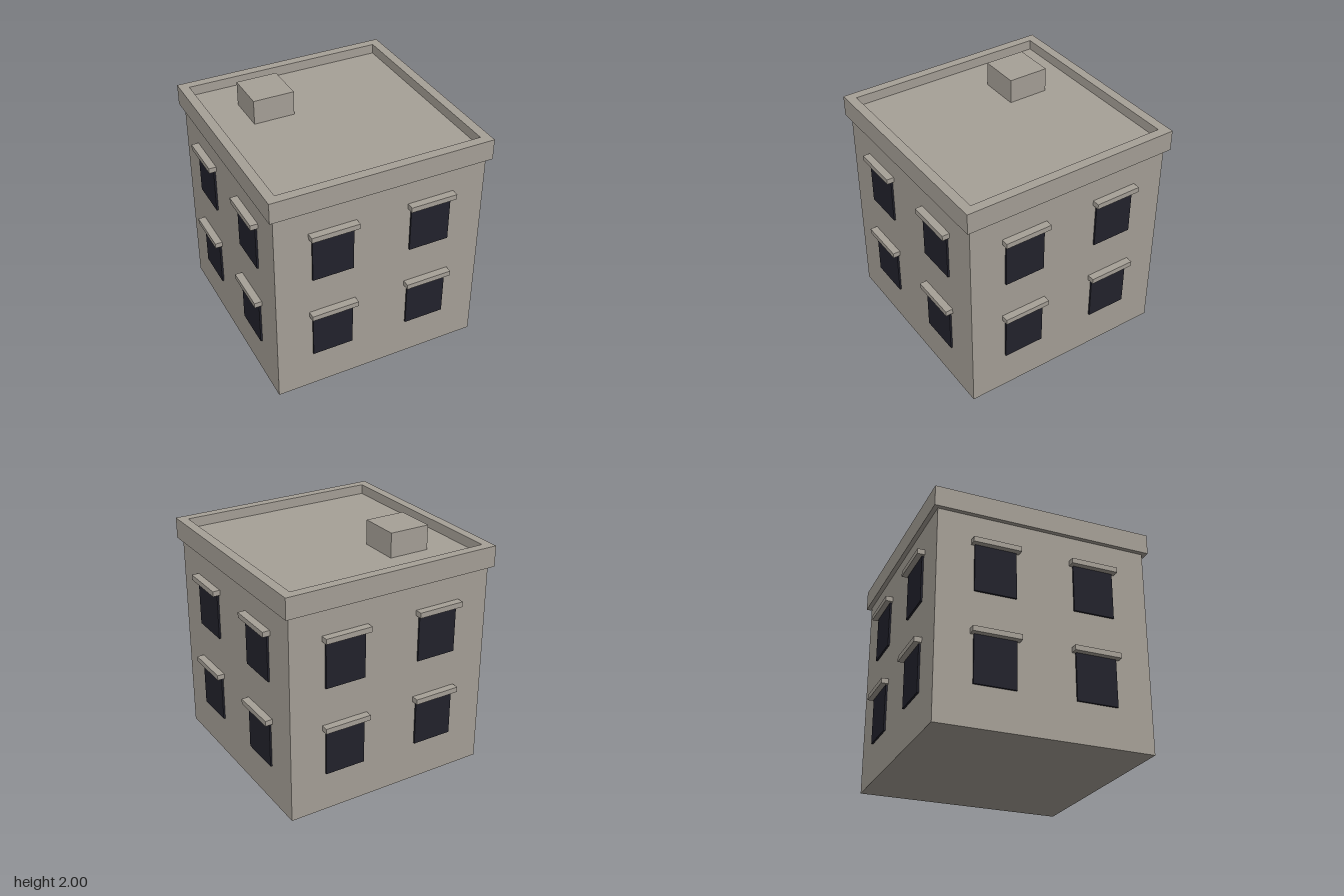
import * as THREE from 'three';

export function createModel() {
  const building = new THREE.Group();
  building.name = 'building';

  const stone = new THREE.MeshStandardMaterial({ color: 0xa6a097 });
  stone.name = 'warm grey stone';
  const glass = new THREE.MeshStandardMaterial({ color: 0x22222c });
  glass.name = 'dark glass';

  // Box given by its size, centre x and z, and bottom y
  function addBox(parent, name, material, w, h, d, x, bottom, z) {
    const mesh = new THREE.Mesh(new THREE.BoxGeometry(w, h, d), material);
    mesh.name = name;
    mesh.position.set(x, bottom + h / 2, z);
    parent.add(mesh);
  }

  const wall = 0.872;

  // Main block, whose top is the sunken flat roof
  addBox(building, 'walls', stone, wall * 2, 1.8, wall * 2, 0, 0, 0);

  // Square parapet ring overhanging the walls
  const square = (Base, r) => {
    const s = new Base();
    s.moveTo(-r, -r);
    s.lineTo(r, -r);
    s.lineTo(r, r);
    s.lineTo(-r, r);
    s.closePath();
    return s;
  };
  const ring = square(THREE.Shape, 0.908);
  ring.holes.push(square(THREE.Path, 0.832));
  const ringGeometry = new THREE.ExtrudeGeometry(ring, { depth: 0.17, bevelEnabled: false });
  ringGeometry.rotateX(-Math.PI / 2);
  const parapet = new THREE.Mesh(ringGeometry, stone);
  parapet.name = 'parapet';
  parapet.position.y = 1.71;
  building.add(parapet);

  // Rooftop box
  addBox(building, 'roofBox', stone, 0.336, 0.2, 0.336, -0.371, 1.8, -0.371);

  // Two storeys of two windows with lintels on each of the four sides
  const sides = ['front', 'left', 'back', 'right'];
  sides.forEach((name, i) => {
    const side = new THREE.Group();
    side.name = name + 'Windows';
    side.rotation.y = i * Math.PI / 2;
    for (const sill of [0.328, 1.068]) {
      for (const x of [-0.407, 0.407]) {
        addBox(side, 'window', glass, 0.337, 0.387, 0.03, x, sill, wall);
        addBox(side, 'lintel', stone, 0.388, 0.043, 0.08, x, sill + 0.387, wall + 0.02);
      }
    }
    building.add(side);
  });

  return building;
}
